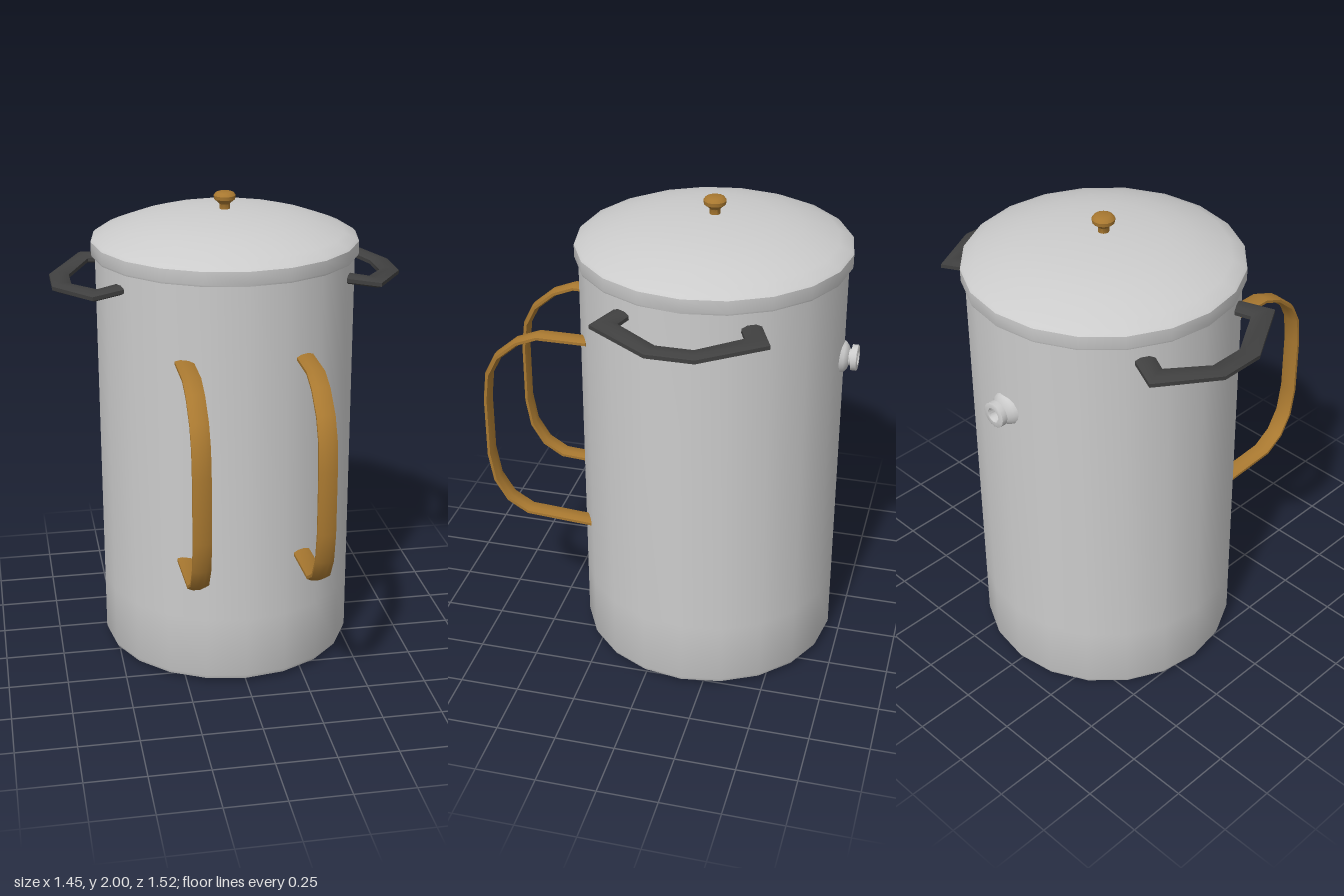
import * as THREE from 'three';
import { toCreasedNormals } from 'three/addons/utils/BufferGeometryUtils.js';

const POT_Z = -0.16; // axis of the pot

const steel = new THREE.MeshStandardMaterial({ color: 0xcccccc, side: THREE.DoubleSide });
const wood = new THREE.MeshStandardMaterial({ color: 0xa87830 });
const black = new THREE.MeshStandardMaterial({ color: 0x404040 });

function lathe(name, profile, sides, material) {
  const points = profile.map(([r, y]) => new THREE.Vector2(r, y));
  const geometry = toCreasedNormals(new THREE.LatheGeometry(points, sides), 0.7);
  const mesh = new THREE.Mesh(geometry, material);
  mesh.name = name;
  return mesh;
}

// Sweeps a rounded, flattened bar along a path; "across" is the fixed section axis.
function bar(name, path, across, halfN, halfB, material) {
  const SIDES = 8;
  const pts = path.map((p) => new THREE.Vector3(...p));
  const b = new THREE.Vector3(...across);
  const pos = [];
  const index = [];
  pts.forEach((p, i) => {
    const before = p.clone().sub(pts[Math.max(i - 1, 0)]).normalize();
    const after = pts[Math.min(i + 1, pts.length - 1)].clone().sub(p).normalize();
    const t = before.clone().add(after).normalize();
    const n = b.clone().cross(t).normalize();
    const miter = 1 / Math.max(t.dot(i ? before : after), 0.5);
    for (let j = 0; j < SIDES; j++) {
      const a = ((j + 0.5) / SIDES) * Math.PI * 2;
      const r = 1 / Math.cos(Math.PI / SIDES);
      const v = p.clone()
        .addScaledVector(n, Math.cos(a) * r * halfN * miter)
        .addScaledVector(b, Math.sin(a) * r * halfB);
      pos.push(v.x, v.y, v.z);
    }
  });
  const last = (pts.length - 1) * SIDES;
  for (let i = 0; i < last; i += SIDES) {
    for (let j = 0; j < SIDES; j++) {
      const k = (j + 1) % SIDES;
      index.push(i + j, i + k, i + SIDES + k, i + j, i + SIDES + k, i + SIDES + j);
    }
  }
  for (let j = 1; j < SIDES - 1; j++) {
    index.push(0, j + 1, j, last, last + j, last + j + 1);
  }
  const geometry = new THREE.BufferGeometry();
  geometry.setAttribute('position', new THREE.Float32BufferAttribute(pos, 3));
  geometry.setIndex(index);
  const mesh = new THREE.Mesh(toCreasedNormals(geometry, 0.85), material);
  mesh.name = name;
  return mesh;
}

export function createModel() {
  const model = new THREE.Group();
  model.name = 'stockPot';

  const pot = new THREE.Group();
  pot.name = 'pot';
  pot.position.z = POT_Z;
  model.add(pot);

  // Body with a softly rounded bottom edge
  pot.add(lathe('body', [
    [0, 0], [0.13, 0.004], [0.515, 0.01], [0.535, 0.018], [0.542, 0.035],
    [0.542, 0.3], [0.542, 1.78],
  ], 20, steel));

  // Lid: band, lip and shallow dome
  pot.add(lathe('lid', [
    [0.535, 1.752], [0.555, 1.752], [0.558, 1.76], [0.558, 1.812], [0.548, 1.822],
    [0.5, 1.844], [0.43, 1.871], [0.35, 1.895], [0.25, 1.914], [0.13, 1.926], [0, 1.93],
  ], 20, steel));

  // Knob
  pot.add(lathe('lidKnob', [
    [0.022, 1.925], [0.022, 1.95], [0.028, 1.957], [0.044, 1.97], [0.046, 1.985],
    [0.038, 1.996], [0.028, 2], [0, 2],
  ], 16, wood));

  // Hollow spout at the back
  const spout = lathe('spout', [
    [0.085, 0], [0.068, 0.012], [0.062, 0.028], [0.045, 0.04], [0.034, 0.044],
    [0.034, 0.052], [0.053, 0.054], [0.053, 0.077], [0.048, 0.08],
    [0.03, 0.08], [0.026, 0.074], [0.026, 0.02], [0, 0.02],
  ], 16, steel);
  spout.rotation.x = -Math.PI / 2;
  spout.position.set(0, 1.365, -0.52);
  pot.add(spout);

  // Side grips, level with the rim
  const grip = [
    [0.455, 1.68, -0.245], [0.568, 1.671, -0.295], [0.687, 1.65, -0.085],
    [0.687, 1.65, 0.085], [0.568, 1.671, 0.295], [0.455, 1.68, 0.245],
  ];
  // Long wooden handles at the front, as z and y
  const loop = [
    [0.3, 1.428], [0.51, 1.428], [0.6, 1.392], [0.69, 1.315], [0.733, 1.23], [0.747, 1.11],
    [0.747, 0.85], [0.725, 0.725], [0.67, 0.635], [0.585, 0.583], [0.3, 0.565],
  ];
  for (const [side, s] of [['left', 1], ['right', -1]]) {
    pot.add(bar(side + 'SideGrip', grip.map(([x, y, z]) => [s * x, y, z]),
      [0, 1, 0], 0.04, 0.019, black));
    model.add(bar(side + 'FrontHandle', loop.map(([z, y]) => [s * 0.243, y, z]),
      [1, 0, 0], 0.014, 0.037, wood));
  }
  return model;
}
